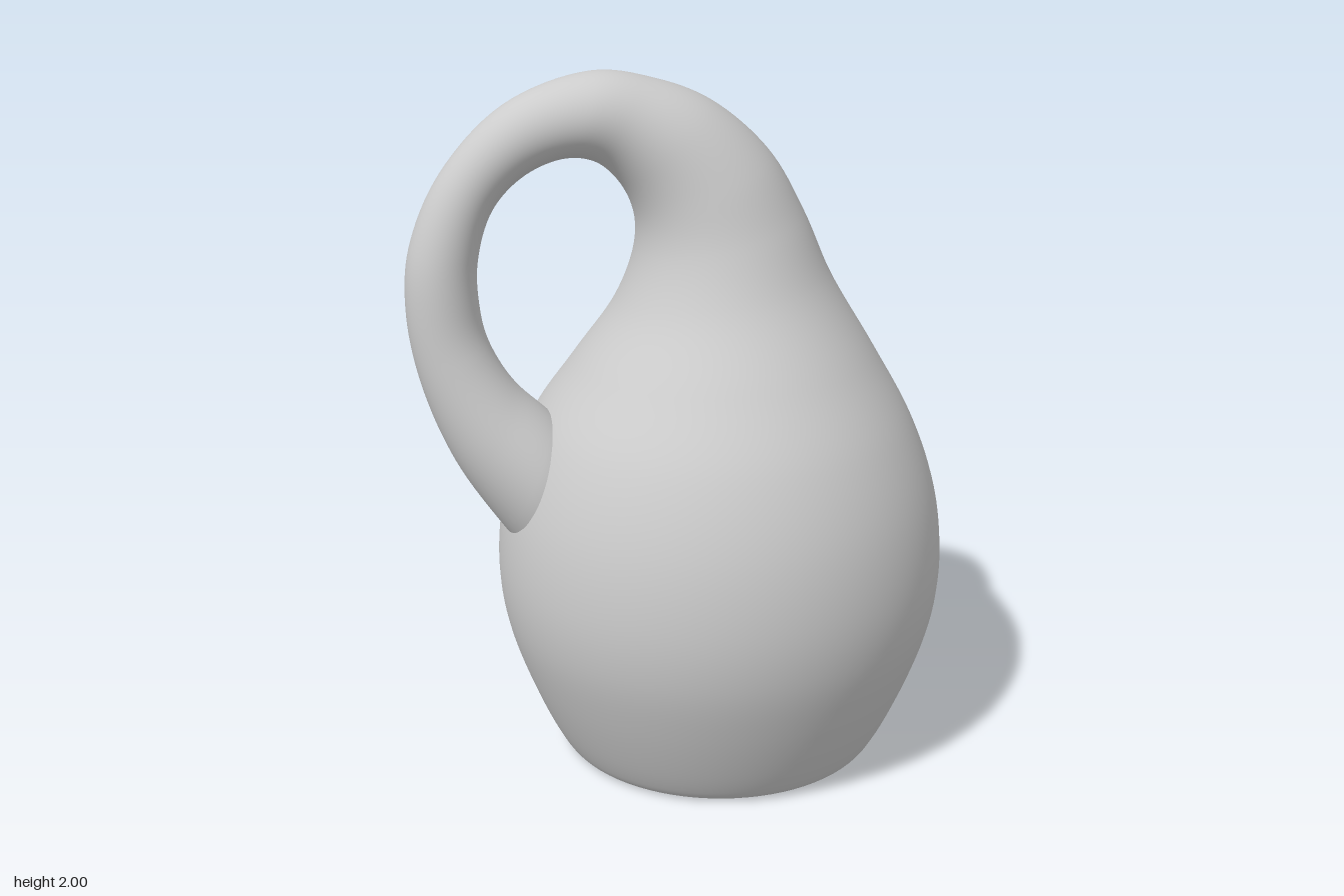
import * as THREE from 'three';

// Each row spans one ring of the tube: outer edge (x, y), inner edge (x, y)
const RINGS = [
  // body, from the rim upwards
  [0.55, 0, -0.31, 0], [0.575, 0.01, -0.335, 0.01], [0.61, 0.06, -0.37, 0.06],
  [0.695, 0.25, -0.455, 0.25], [0.75, 0.43, -0.51, 0.43], [0.765, 0.6, -0.525, 0.6],
  [0.74, 0.8, -0.5, 0.8], [0.67, 1.0, -0.425, 1.0], [0.56, 1.2, -0.3, 1.18],
  // neck, bending over the top
  [0.43, 1.42, -0.18, 1.35], [0.35, 1.6, -0.125, 1.5], [0.25, 1.77, -0.125, 1.6],
  [0.09, 1.91, -0.165, 1.69], [-0.07, 1.975, -0.235, 1.755], [-0.24, 2.0, -0.32, 1.77],
  // handle, coming down to the wall
  [-0.48, 1.92, -0.43, 1.73], [-0.66, 1.74, -0.52, 1.64], [-0.75, 1.54, -0.565, 1.5],
  [-0.765, 1.37, -0.565, 1.38], [-0.735, 1.17, -0.545, 1.28], [-0.65, 0.94, -0.48, 1.16],
  [-0.51, 0.72, -0.37, 1.05],
  // inside, flaring back to the rim
  [-0.38, 0.55, -0.2, 0.87], [-0.3, 0.4, 0, 0.71], [-0.25, 0.3, 0.22, 0.53],
  [-0.24, 0.2, 0.41, 0.33], [-0.25, 0.1, 0.49, 0.13], [-0.28, 0.03, 0.52, 0.03],
  [-0.31, 0, 0.55, 0],
];

// Rings first..last of the sweep as one smooth tube
function sweptTube(steps, sides) {
  const edge = (k) => new THREE.CatmullRomCurve3(RINGS.map((r) => new THREE.Vector3(r[k], r[k + 1], 0)));
  const outer = edge(0), inner = edge(2);
  const positions = [], indices = [];
  for (let i = 0; i <= steps; i++) {
    const t = i / steps;
    const o = outer.getPoint(t), n = inner.getPoint(t);
    const c = o.clone().add(n).multiplyScalar(0.5);
    const radius = o.distanceTo(n) / 2;
    // the handle drifts slightly forward where it enters the wall
    const s = THREE.MathUtils.clamp((t * (RINGS.length - 1) - 18) / 7, 0, 1);
    const drift = 0.03 * Math.sin(Math.PI * s) ** 2;
    for (let j = 0; j < sides; j++) {
      const a = (j / sides) * Math.PI * 2;
      positions.push(
        c.x + (o.x - c.x) * Math.cos(a),
        Math.max(0, c.y + (o.y - c.y) * Math.cos(a)),
        radius * Math.sin(a) + drift
      );
      if (i < steps) {
        const p = i * sides + j, q = i * sides + ((j + 1) % sides);
        indices.push(p, p + sides, q, q, p + sides, q + sides);
      }
    }
  }
  const geometry = new THREE.BufferGeometry();
  geometry.setAttribute('position', new THREE.Float32BufferAttribute(positions, 3));
  geometry.setIndex(indices);
  geometry.computeVertexNormals();
  return geometry;
}

export function createModel() {
  const group = new THREE.Group();
  group.name = 'kleinBottle';
  const material = new THREE.MeshStandardMaterial({ color: 0xcccccc, side: THREE.DoubleSide });
  const bottle = new THREE.Mesh(sweptTube(224, 80), material);
  bottle.name = 'bottleSurface';
  group.add(bottle);
  return group;
}
